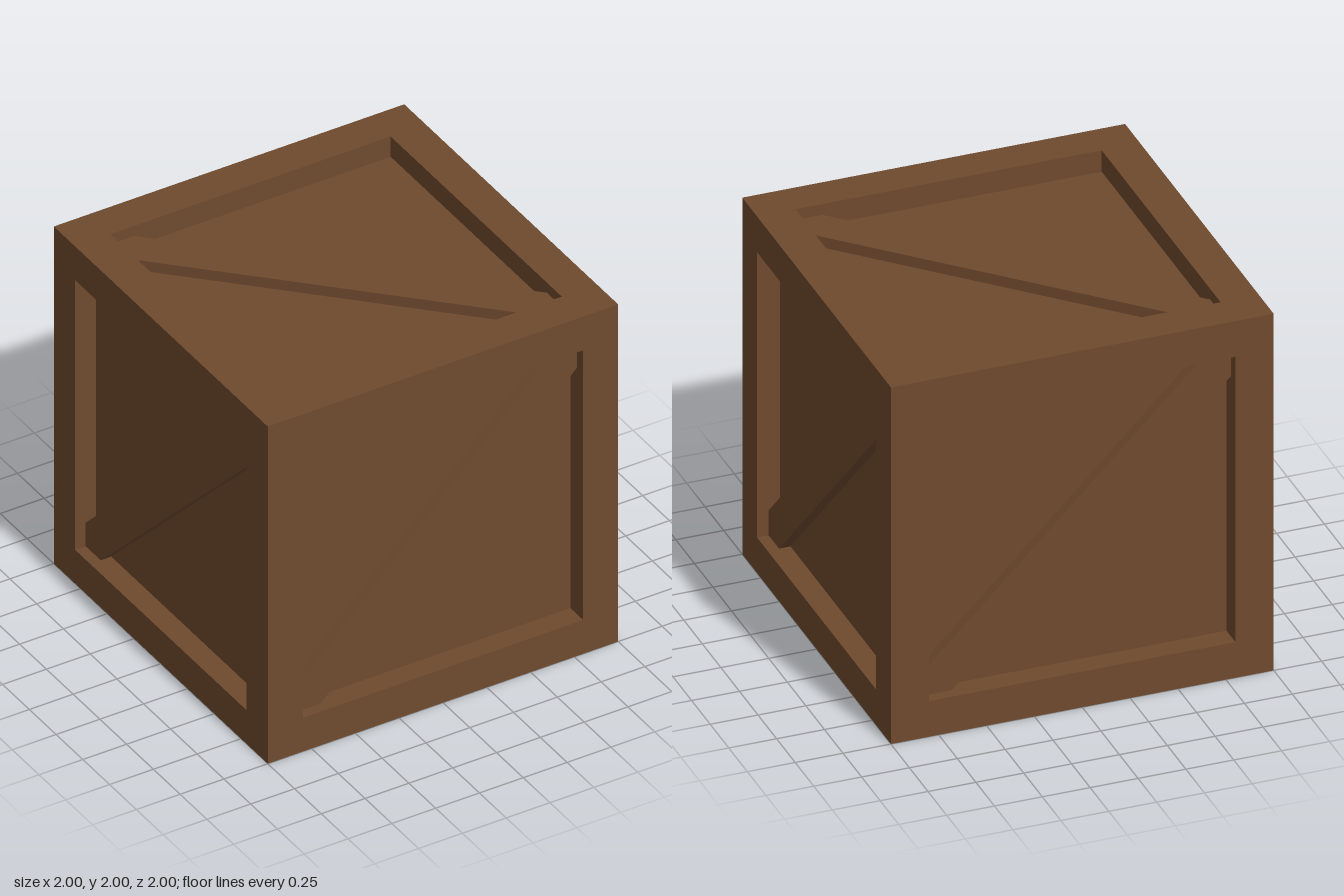
import * as THREE from 'three';
import { mergeGeometries } from 'three/addons/utils/BufferGeometryUtils.js';

const HALF = 1;        // half the crate's edge
const OPEN = 0.8;      // half the recessed opening
const PANEL = 0.88;    // distance of the panel from the centre
const BRACE = 0.94;    // distance of the brace's face from the centre
const CUT = 0.66;      // where the brace's edges meet the frame

const polygon = (points, Type = THREE.Shape) => new Type(points.map(([x, y]) => new THREE.Vector2(x, y)));
const square = (s) => [[-s, -s], [s, -s], [s, s], [-s, s]];

export function createModel() {
  const wood = new THREE.MeshStandardMaterial({ color: 0x6f4a2e });
  wood.name = 'brownWood';

  // Outer border of a side
  const borderShape = polygon(square(HALF));
  borderShape.holes.push(polygon(square(OPEN).reverse(), THREE.Path));
  const border = new THREE.ShapeGeometry(borderShape).translate(0, 0, HALF);

  // Four inward-facing walls between border and panel
  const depth = HALF - PANEL;
  const walls = [0, 1, 2, 3].map((i) =>
    new THREE.PlaneGeometry(2 * OPEN, depth)
      .rotateX(-Math.PI / 2)
      .translate(0, -OPEN, PANEL + depth / 2)
      .rotateZ(i * Math.PI / 2));
  const recess = mergeGeometries(walls);

  // Recessed panel
  const panel = new THREE.PlaneGeometry(2 * OPEN, 2 * OPEN).translate(0, 0, PANEL);

  // Diagonal plank, cut square to fit the corners
  const brace = new THREE.ExtrudeGeometry(
    polygon([[-OPEN, -OPEN], [-CUT, -OPEN], [OPEN, CUT], [OPEN, OPEN], [CUT, OPEN], [-OPEN, -CUT]]),
    { depth: BRACE - PANEL, bevelEnabled: false },
  ).translate(0, 0, PANEL);

  const parts = { Frame: border, FrameInside: recess, Panel: panel, Brace: brace };

  // Six sides: tilt about x, turn about y, spin in the side's own plane
  const q = Math.PI / 2;
  const sides = [
    ['front', 0, 0, 0],
    ['left', 0, q, 0],
    ['back', 0, 2 * q, 0],
    ['right', 0, -q, 0],
    ['top', -q, 0, q],
    ['bottom', q, 0, q],
  ];

  const crate = new THREE.Group();
  crate.name = 'crate';
  for (const [name, tilt, turn, spin] of sides) {
    const side = new THREE.Group();
    side.name = `${name}Side`;
    side.rotation.set(tilt, turn, spin);
    side.position.y = HALF;
    for (const [part, geometry] of Object.entries(parts)) {
      const mesh = new THREE.Mesh(geometry, wood);
      mesh.name = name + part;
      side.add(mesh);
    }
    crate.add(side);
  }
  return crate;
}
